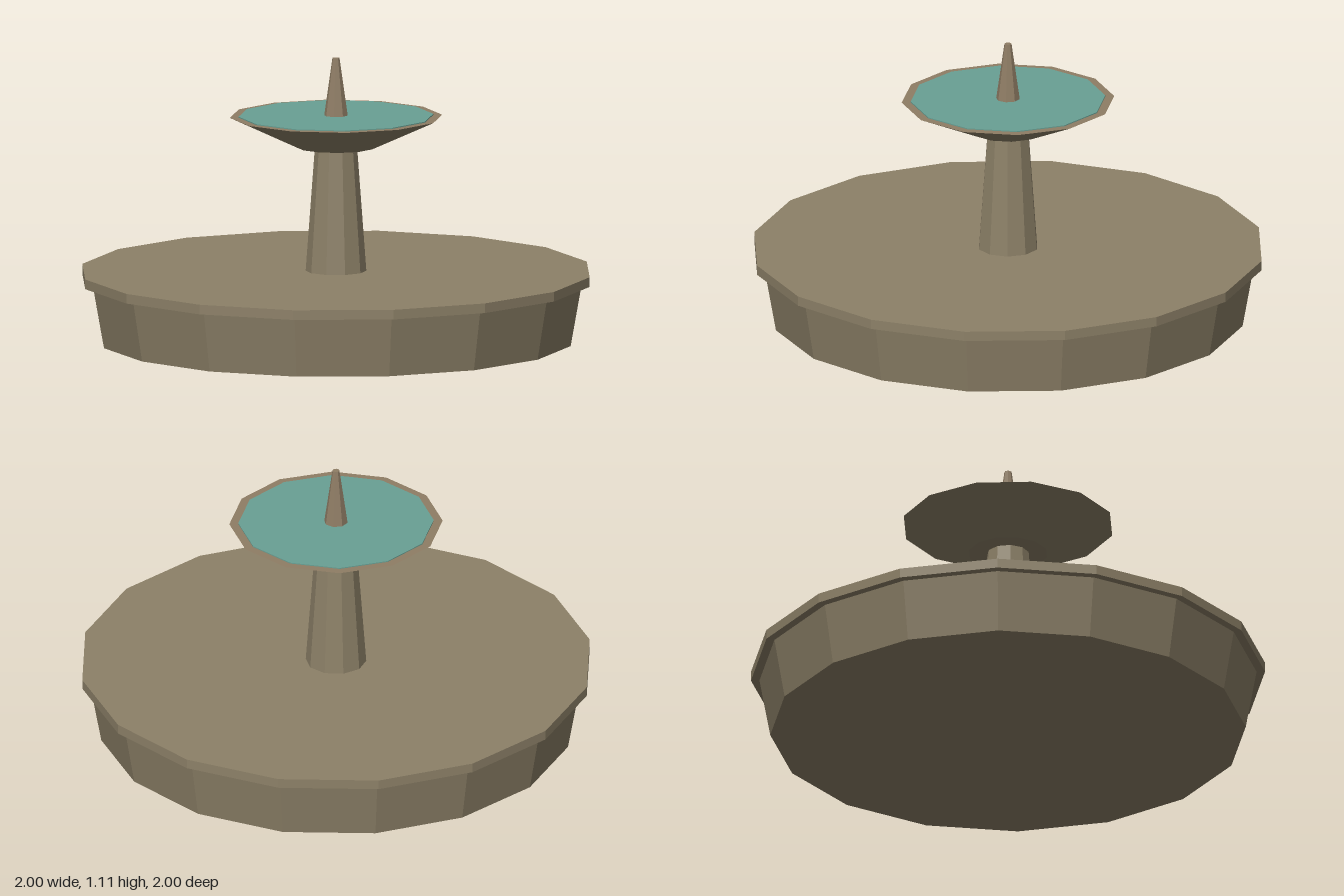
import * as THREE from 'three';

export function createModel() {
  const mat = (name, color) => {
    const m = new THREE.MeshStandardMaterial({ color, flatShading: true });
    m.name = name;
    return m;
  };
  const stone = mat('stone', 0x8d8168);
  const warmStone = mat('warm stone', 0x8f7d65);
  const water = mat('water', 0x69a094);

  const fountain = new THREE.Group();
  fountain.name = 'fountain';

  // Faceted tapered drum standing between two heights
  const drum = (name, rBottom, rTop, y0, y1, sides, material) => {
    const geometry = new THREE.CylinderGeometry(rTop, rBottom, y1 - y0, sides);
    const mesh = new THREE.Mesh(geometry, material);
    mesh.name = name;
    mesh.position.y = (y0 + y1) / 2;
    fountain.add(mesh);
  };

  // Wide lower basin with its overhanging rim
  drum('basin', 0.925, 0.967, 0, 0.235, 16, stone);
  drum('basinRim', 1, 1, 0.235, 0.273, 16, stone);

  // Central column
  drum('column', 0.118, 0.082, 0.273, 0.76, 10, stone);

  // Upper bowl: sides, lip and underside
  drum('upperBowl', 0.155, 0.415, 0.76, 0.88, 12, [stone, warmStone, stone]);
  drum('upperWater', 0.38, 0.38, 0.876, 0.884, 12, water);

  // Spout
  drum('spout', 0.047, 0.014, 0.88, 1.11, 8, warmStone);

  return fountain;
}
